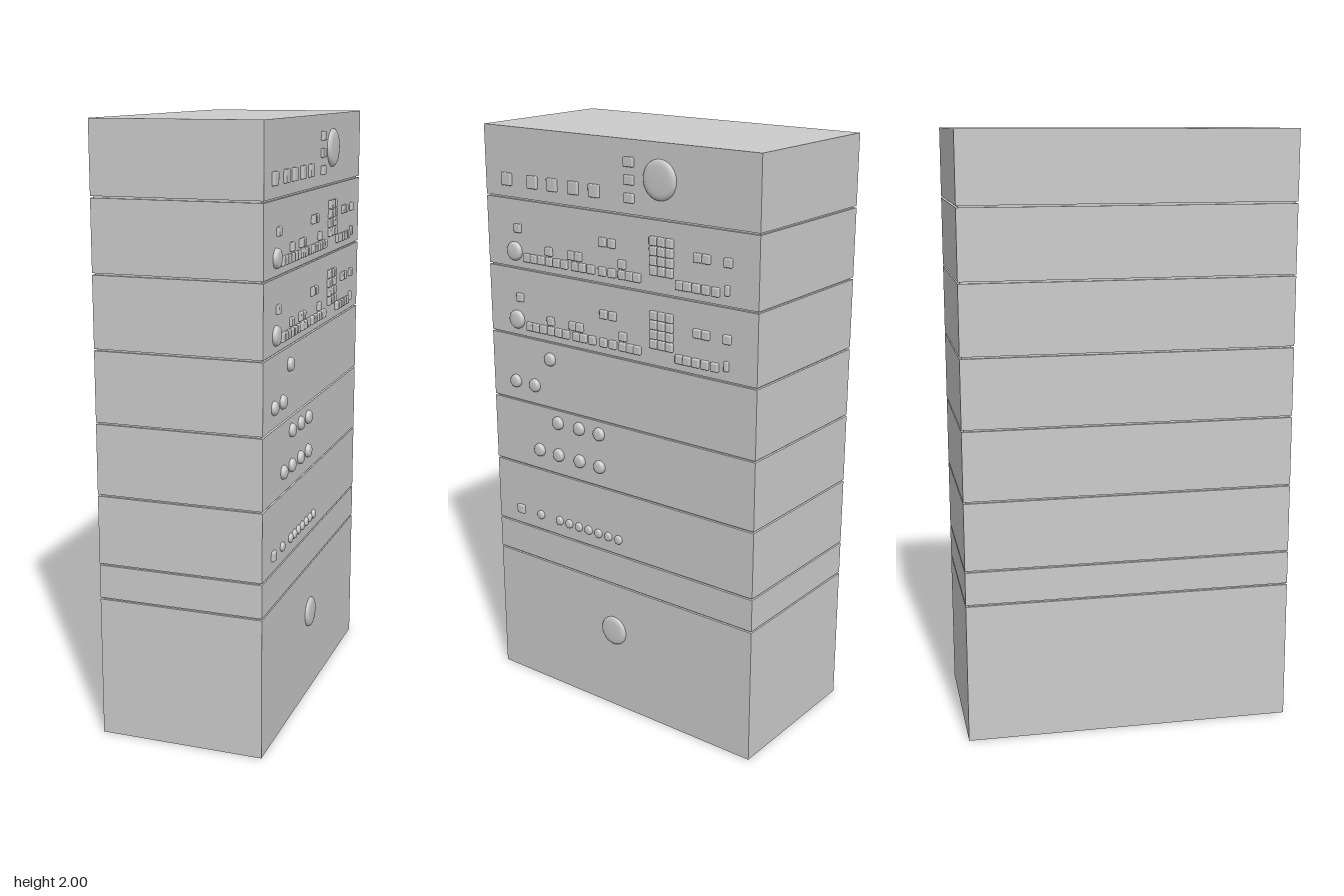
import * as THREE from 'three';
import { RoundedBoxGeometry } from 'three/addons/geometries/RoundedBoxGeometry.js';

const BACK = -0.285, PANEL = 0.267, DEPTH = 1.1;

export function createModel() {
  const model = new THREE.Group();
  model.name = 'equipmentRack';
  const grey = new THREE.MeshStandardMaterial({ color: 0xcccccc });

  const add = (name, geometry, x, y, z) => {
    const mesh = new THREE.Mesh(geometry, grey);
    mesh.name = name;
    mesh.position.set(x, y, z);
    model.add(mesh);
    return mesh;
  };

  // Stacked cabinet units separated by fine seams, over a slightly recessed core
  const seams = [0, 0.475, 0.592, 0.825, 1.062, 1.297, 1.533, 1.767, 2];
  const midX = (BACK + PANEL) / 2, width = PANEL - BACK, gap = 0.006;
  for (let i = 0; i < seams.length - 1; i++) {
    const low = seams[i] + (i ? gap / 2 : 0);
    const high = seams[i + 1] - (i < seams.length - 2 ? gap / 2 : 0);
    add('cabinetUnit', new THREE.BoxGeometry(width, high - low, DEPTH), midX, (low + high) / 2, 0);
  }
  add('cabinetCore', new THREE.BoxGeometry(width - 0.016, 1.98, DEPTH - 0.016), midX, 1, 0);

  // Square button with softened edges, part sunk into the panel
  const button = (z, y, w = 0.029, h = w, out = 0.01) =>
    add('button', new RoundedBoxGeometry(out * 2, h, w, 2, 0.004), PANEL, y, z);

  // Round knob: short side, curved shoulder, gently domed face
  const knob = (z, y, r, out = 0.015) => {
    const profile = [
      [r, -0.004], [r, out * 0.25], [r * 0.96, out * 0.5], [r * 0.86, out * 0.78],
      [r * 0.7, out * 0.92], [r * 0.35, out * 0.99], [0, out],
    ].map(([a, b]) => new THREE.Vector2(a, b));
    add('knob', new THREE.LatheGeometry(profile, 24), PANEL, y, z).rotation.z = -Math.PI / 2;
  };

  // Top unit: button row, three small switches and a large dial
  for (const z of [0.453, 0.339, 0.254, 0.164, 0.077]) button(z, 1.828, 0.042);
  for (const y of [1.931, 1.876, 1.82]) button(-0.064, y, 0.039, 0.03);
  knob(-0.183, 1.887, 0.063, 0.014);

  // Two identical control units
  for (const base of [1.533, 1.297]) {
    knob(0.429, base + 0.057, 0.032);
    for (const z of [0.411, 0.045, 0.008, -0.328, -0.36, -0.44]) button(z, base + 0.136);
    for (const z of [0.275, 0.178, 0.148, -0.034]) button(z, base + 0.075);
    for (const z of [0.371, 0.342, 0.31, 0.275, 0.241, 0.209, 0.162, 0.132, 0.095, 0.048,
      0.008, -0.034, -0.064, -0.093, -0.26, -0.289, -0.323, -0.358, -0.395]) button(z, base + 0.041);
    button(-0.438, base + 0.051, 0.016, 0.032);
    // Keypad
    for (let row = 0; row < 4; row++)
      for (let col = 0; col < 3; col++)
        button(-0.159 - col * 0.031, base + 0.166 - row * 0.031);
  }

  // Knob-only units
  knob(0.284, 1.237, 0.023);
  for (const z of [0.445, 0.358]) knob(z, 1.131, 0.023);
  for (const z of [0.257, 0.162, 0.074]) knob(z, 1.015, 0.023);
  for (const z of [0.344, 0.257, 0.162, 0.074]) knob(z, 0.898, 0.023);

  // Lower unit: one button and a row of small knobs
  button(0.443, 0.65, 0.032);
  knob(0.35, 0.65, 0.016, 0.01);
  for (let i = 0; i < 7; i++) knob(0.262 - i * 0.0442, 0.65, 0.016, 0.01);

  // Base unit dial
  knob(0.021, 0.297, 0.052, 0.013);

  return model;
}
